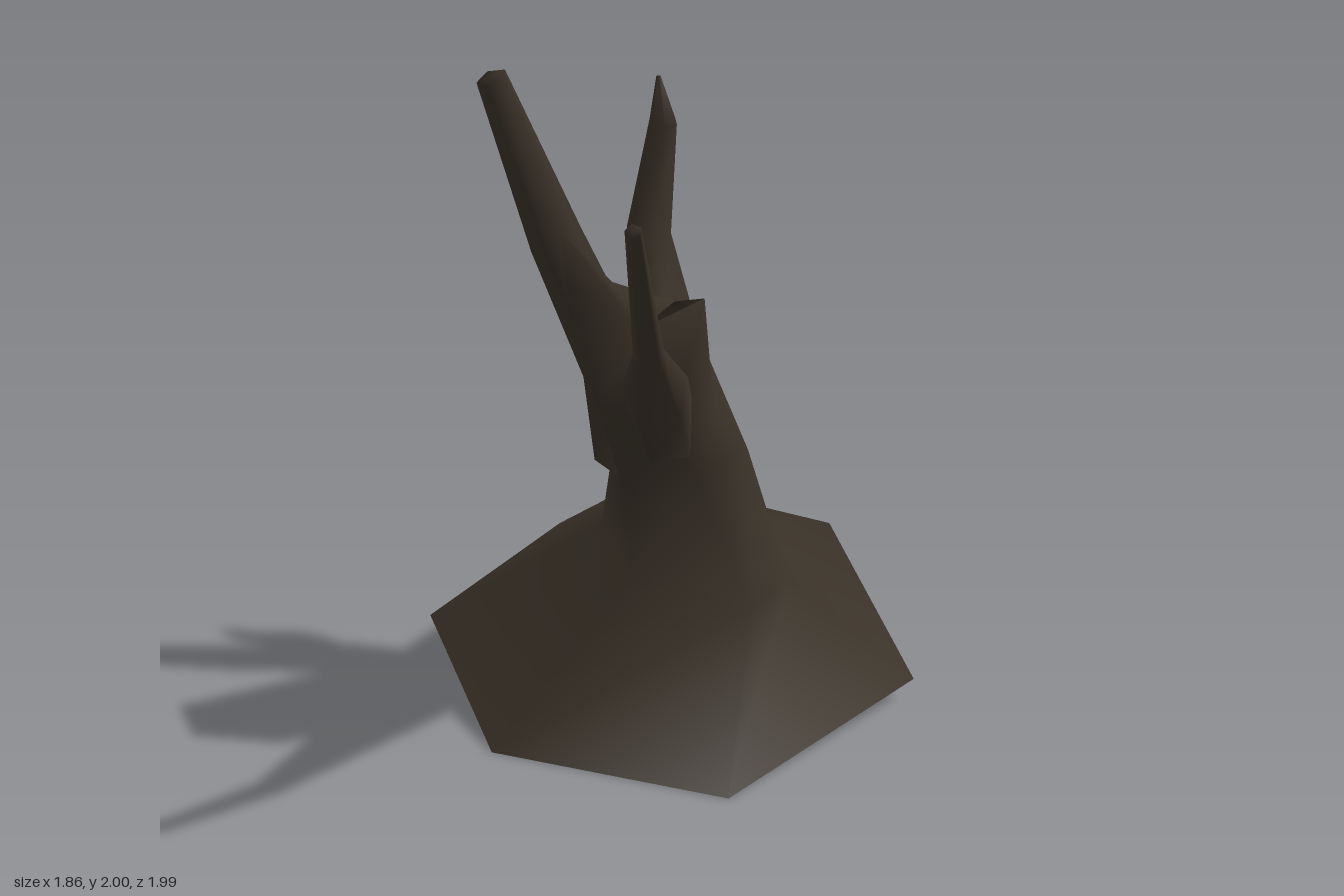
import * as THREE from 'three';

const V = (p) => new THREE.Vector3(...p);

// Skin a stack of equal-length rings (counter-clockwise seen from the end), smooth shaded, end closed
function loft(rings) {
  const n = rings[0].length;
  const index = [];
  for (let j = 0; j < rings.length - 1; j++) {
    for (let i = 0; i < n; i++) {
      const a = j * n + i, b = j * n + (i + 1) % n;
      index.push(a, b, b + n, a, b + n, a + n);
    }
  }
  const s = (rings.length - 1) * n;
  for (let i = 1; i < n - 1; i++) index.push(s, s + i, s + i + 1);
  const g = new THREE.BufferGeometry().setFromPoints(rings.flat());
  g.setIndex(index);
  g.computeVertexNormals();
  return g;
}

// Tapered branch: each station is [x, y, z, radius]
function branch(stations, sides) {
  const centres = stations.map((s) => V(s.slice(0, 3)));
  const last = centres.length - 1;
  const rings = centres.map((c, k) => {
    const t = centres[Math.min(k + 1, last)].clone().sub(centres[Math.max(k - 1, 0)]).normalize();
    const u = new THREE.Vector3(1, 0, 0).addScaledVector(t, -t.x).normalize();
    const w = t.clone().cross(u);
    return Array.from({ length: sides }, (_, i) => {
      const a = (i / sides) * Math.PI * 2, r = stations[k][3];
      return c.clone().addScaledVector(u, Math.cos(a) * r).addScaledVector(w, Math.sin(a) * r);
    });
  });
  return loft(rings);
}

export function createModel() {
  const tree = new THREE.Group();
  tree.name = 'deadTree';
  const bark = new THREE.MeshStandardMaterial({ color: 0x3b3329, side: THREE.DoubleSide });
  bark.name = 'dark bark';

  const add = (name, geometry) => {
    const mesh = new THREE.Mesh(geometry, bark);
    mesh.name = name;
    tree.add(mesh);
  };

  // Six-sided trunk, open below: flared root, leaning stem, broken top
  const trunkRings = [
    [[-0.13, 0, 0.32], [0.64, 0.08, 0.24], [0.925, 0.26, -0.46], [0.24, 0.26, -1], [-0.36, 0.18, -0.83], [-0.5, 0, -0.29]],
    [[0.04, 0.49, 0.212], [0.26, 0.46, 0.11], [0.37, 0.53, -0.17], [0.13, 0.645, -0.39], [-0.11, 0.61, -0.28], [-0.18, 0.55, -0.04]],
    [[-0.11, 0.9, 0.155], [0.06, 0.93, 0.16], [0.15, 0.99, -0.04], [0.08, 0.94, -0.19], [-0.1, 0.83, -0.24], [-0.19, 0.79, -0.06]],
    [[-0.26, 1.08, 0.235], [-0.12, 1.09, 0.24], [-0.04, 1.22, 0.1], [-0.09, 1.25, -0.01], [-0.27, 1.2, -0.04], [-0.37, 1.13, 0.07]],
    [[-0.5, 1.46, 0.43], [-0.33, 1.51, 0.46], [-0.25, 1.43, 0.24], [-0.37, 1.48, 0.14], [-0.57, 1.66, 0.21], [-0.64, 1.58, 0.33]],
  ];
  add('trunk', loft(trunkRings.map((ring) => ring.map(V))));

  // Three bare limbs
  add('frontBranch', branch([
    [-0.2, 1.03, 0.14, 0.085], [-0.4, 1.26, 0.36, 0.085], [-0.645, 1.49, 0.655, 0.036], [-0.925, 1.9, 0.978, 0.018],
  ], 5));
  add('backBranch', branch([
    [-0.09, 0.84, -0.175, 0.095], [-0.15, 1.12, -0.14, 0.095], [-0.36, 1.52, -0.1, 0.075], [-0.575, 1.985, -0.055, 0.04],
  ], 5));
  add('uprightBranch', branch([
    [-0.12, 1.14, 0.04, 0.08], [-0.125, 1.34, 0.02, 0.085], [-0.12, 1.53, -0.035, 0.062],
    [-0.148, 1.84, 0.065, 0.037], [-0.16, 1.955, 0.062, 0.006],
  ], 6));

  return tree;
}
